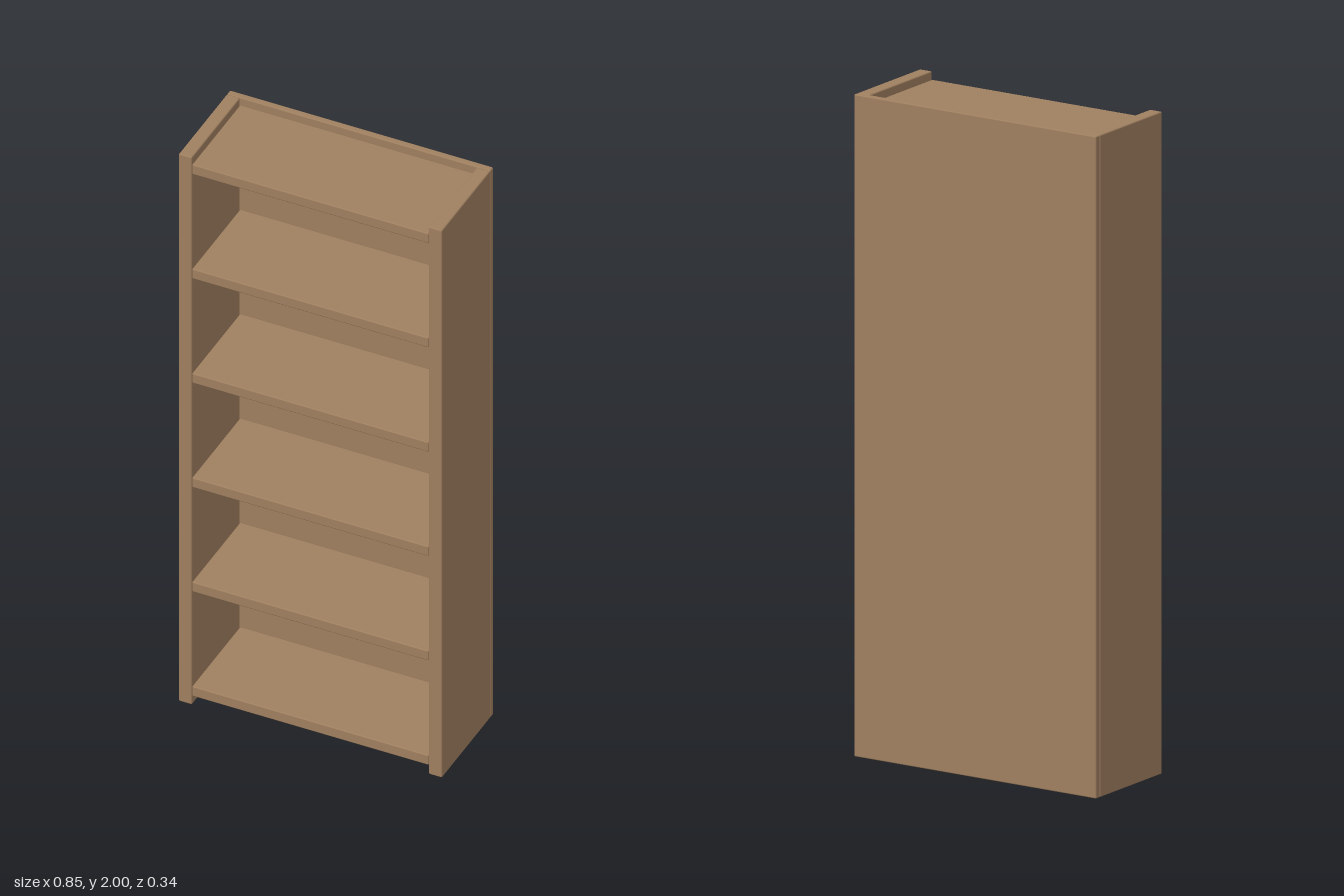
import * as THREE from 'three';
import { RoundedBoxGeometry } from 'three/addons/geometries/RoundedBoxGeometry.js';

const WIDTH = 0.854, HEIGHT = 2, DEPTH = 0.344;
const SIDE = 0.043, BACK = 0.021, SHELF = 0.036, EDGE = 0.004;

export function createModel() {
  const group = new THREE.Group();
  const wood = new THREE.MeshStandardMaterial({ color: 0xa08060 });
  wood.name = 'wood';

  // Board with slightly eased edges
  const board = (name, w, h, d, x, y, z) => {
    const mesh = new THREE.Mesh(new RoundedBoxGeometry(w, h, d, 1, EDGE), wood);
    mesh.name = name;
    mesh.position.set(x, y, z);
    group.add(mesh);
  };

  // Back panel covers the full width
  board('backPanel', WIDTH, HEIGHT, BACK, 0, HEIGHT / 2, (BACK - DEPTH) / 2);

  // Side panels stand in front of the back panel
  const innerDepth = DEPTH - BACK, innerZ = BACK / 2;
  for (const [name, s] of [['leftSide', 1], ['rightSide', -1]]) {
    board(name, SIDE, HEIGHT, innerDepth, s * (WIDTH - SIDE) / 2, HEIGHT / 2, innerZ);
  }

  // Six evenly spaced shelves between the sides
  const first = 0.05, last = 1.957, count = 6;
  for (let i = 0; i < count; i++) {
    const y = first + (last - first) * i / (count - 1);
    board(`shelf${i + 1}`, WIDTH - 2 * SIDE, SHELF, innerDepth, 0, y, innerZ);
  }
  return group;
}
